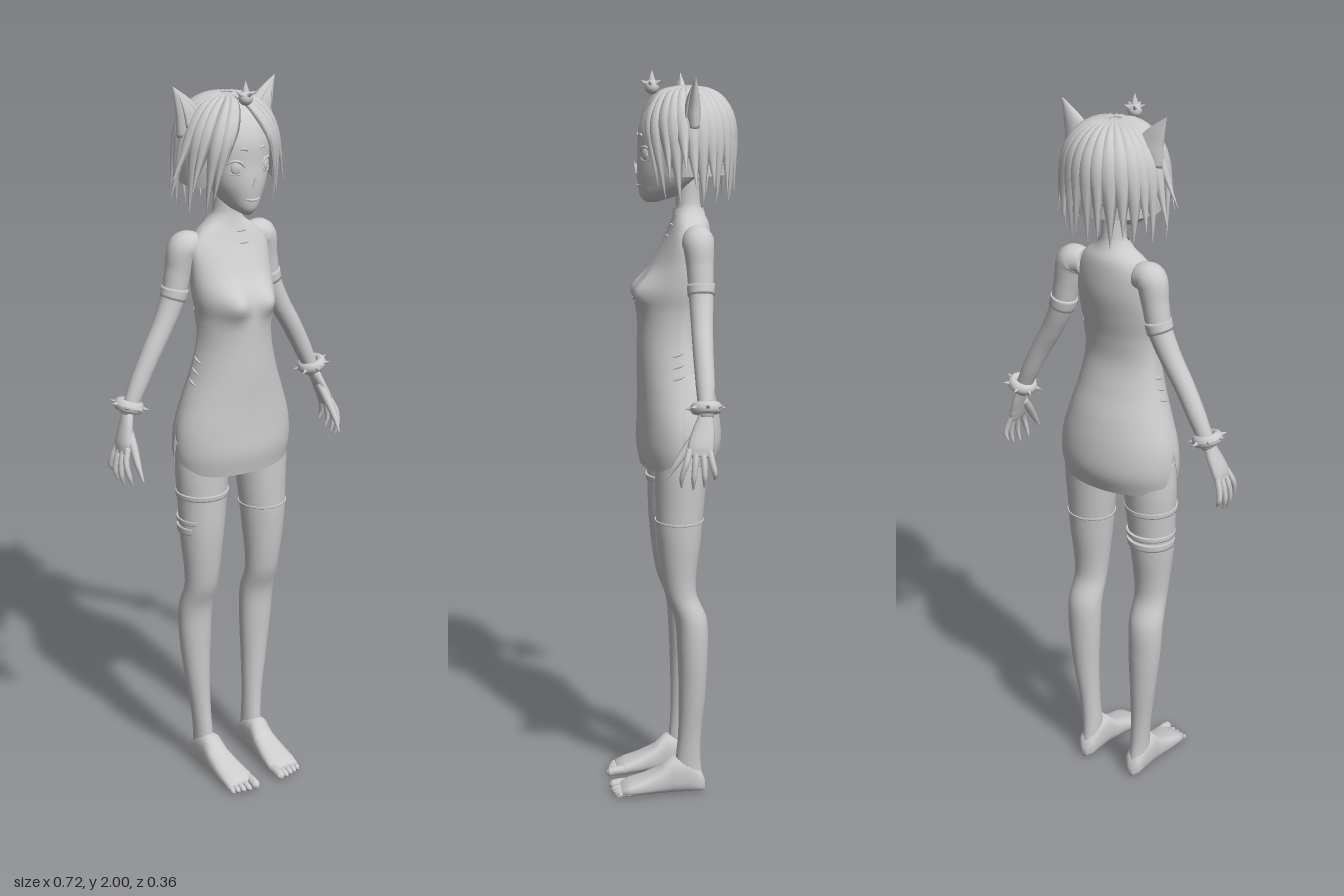
import * as THREE from 'three';

const V = (x, y, z) => new THREE.Vector3(x, y, z);
const mat = new THREE.MeshStandardMaterial({ color: 0xcccccc, side: THREE.DoubleSide });

// Skins closed rings of points; optional fans close both ends.
function loft(rings, cap = true) {
  const n = rings[0].length, pos = [], idx = [];
  rings.forEach(r => r.forEach(p => pos.push(p.x, p.y, p.z)));
  for (let i = 0; i < rings.length - 1; i++) for (let j = 0; j < n; j++) {
    const a = i * n + j, b = i * n + (j + 1) % n;
    idx.push(a, b, b + n, a, b + n, a + n);
  }
  if (cap) [0, rings.length - 1].forEach((k, end) => {
    const c = rings[k].reduce((s, p) => s.add(p), V(0, 0, 0)).divideScalar(n);
    const m = pos.length / 3;
    pos.push(c.x, c.y, c.z);
    for (let j = 0; j < n; j++) {
      const a = k * n + j, b = k * n + (j + 1) % n;
      end ? idx.push(a, b, m) : idx.push(b, a, m);
    }
  });
  const g = new THREE.BufferGeometry();
  g.setAttribute('position', new THREE.Float32BufferAttribute(pos, 3));
  g.setIndex(idx);
  g.computeVertexNormals();
  return g;
}

// Smooth interpolation of a key table [y, cx, cz, rx, rFront, rBack].
function section(keys, y) {
  const last = keys.length - 1;
  y = Math.min(Math.max(y, keys[0][0]), keys[last][0]);
  let i = 0;
  while (i < last - 1 && keys[i + 1][0] < y) i++;
  const A = keys[i], B = keys[i + 1], h = B[0] - A[0], t = (y - A[0]) / h;
  const slope = (k, c) => {
    const p = keys[Math.max(k - 1, 0)], q = keys[Math.min(k + 1, last)];
    return (q[c] - p[c]) / (q[0] - p[0]);
  };
  return A.map((v, c) => c === 0 ? y :
    v * (2 * t ** 3 - 3 * t * t + 1) + B[c] * (3 * t * t - 2 * t ** 3) +
    h * (slope(i, c) * (t ** 3 - 2 * t * t + t) + slope(i + 1, c) * (t ** 3 - t * t)));
}
function onBody(keys, y, a, off = 0) {
  const [, cx, cz, rx, rf, rb] = section(keys, y), c = Math.cos(a);
  return V(cx + Math.max(rx + off, 0.001) * Math.sin(a), y, cz + c * Math.max((c > 0 ? rf : rb) + off, 0.001));
}
// Upright body surface between two heights; the lower one may depend on the angle.
function body(keys, { lo = () => keys[0][0], hi = keys.at(-1)[0], off = 0, rows = 40, n = 40, tweak = p => p, cap = true } = {}) {
  const rings = [];
  for (let i = 0; i <= rows; i++) rings.push(Array.from({ length: n }, (_, j) => {
    const a = j / n * Math.PI * 2, y0 = lo(a > Math.PI ? a - 2 * Math.PI : a);
    return tweak(onBody(keys, y0 + (hi - y0) * i / rows, a, off));
  }));
  return loft(rings, cap);
}

// Tapered sweep; sizes are [width along side, thickness] at each point.
function sweep(pts, sizes, side = V(0, 0, 1), { n = 12, rows = 16, from = 0, to = 1, grow = 0 } = {}) {
  const curve = new THREE.CatmullRomCurve3(pts.map(p => V(...p))), rings = [];
  for (let i = 0; i <= rows; i++) {
    const t = from + (to - from) * i / rows, c = curve.getPoint(t), T = curve.getTangent(t);
    const N = side.clone().cross(T).normalize(), S = T.clone().cross(N).normalize();
    const f = t * (sizes.length - 1), k = Math.min(Math.floor(f), sizes.length - 2);
    const [w, d] = [0, 1].map(q => THREE.MathUtils.lerp(sizes[k][q], sizes[k + 1][q], f - k) + grow);
    rings.push(Array.from({ length: n }, (_, j) => {
      const a = j / n * Math.PI * 2;
      return c.clone().addScaledVector(S, w * Math.sin(a)).addScaledVector(N, d * Math.cos(a));
    }));
  }
  return loft(rings);
}
const round = rs => rs.map(r => [r, r]);

export function createModel() {
  const model = new THREE.Group();
  const add = (name, g) => { const m = new THREE.Mesh(g, mat); m.name = name; model.add(m); };
  const pair = (name, g) => {
    add(name + 'Left', g);
    const r = g.clone().scale(-1, 1, 1), ix = r.index.array;
    for (let i = 0; i < ix.length; i += 3) [ix[i], ix[i + 1]] = [ix[i + 1], ix[i]];
    r.computeVertexNormals();
    add(name + 'Right', r);
    return r;
  };

  // Dress and torso, hem raised at the side slits
  const torso = [
    [0.94, 0, -0.02, 0.168, 0.1, 0.1], [1.0, 0, -0.02, 0.178, 0.11, 0.12], [1.07, 0, -0.02, 0.174, 0.108, 0.117],
    [1.15, 0, -0.02, 0.15, 0.107, 0.1], [1.22, 0, -0.02, 0.127, 0.108, 0.076], [1.3, 0, -0.02, 0.109, 0.107, 0.056],
    [1.37, 0, -0.02, 0.107, 0.106, 0.06], [1.43, 0, -0.02, 0.117, 0.098, 0.073], [1.5, 0, -0.025, 0.12, 0.066, 0.083],
    [1.56, 0, -0.03, 0.115, 0.04, 0.08], [1.6, 0, -0.04, 0.085, 0.034, 0.066], [1.625, 0, -0.048, 0.05, 0.035, 0.045],
    [1.65, 0, -0.05, 0.036, 0.034, 0.036], [1.72, 0, -0.045, 0.035, 0.034, 0.036]];
  const bust = p => {
    if (p.z > 0) p.z += 0.028 * Math.exp(-((Math.abs(p.x) - 0.052) ** 2) / 0.0014 - (p.y - 1.42) ** 2 / 0.0016);
    return p;
  };
  const hem = a => {
    const d = (Math.abs(a) - 1.62) / 0.1, e = (Math.abs(a) - 1.55) / 0.45;
    return 0.942 + 0.1 * Math.exp(-d * d) + 0.035 * Math.exp(-e * e);
  };
  add('dress', body(torso, { lo: hem, hi: 1.635, rows: 64, n: 96, tweak: bust, cap: false }));
  add('neck', body(torso, { lo: () => 1.6, off: -0.002 }));
  add('underBustBand', body(torso, { lo: () => 1.358, hi: 1.395, off: 0.0025, rows: 5, n: 64, tweak: bust, cap: false }));
  add('collar', body(torso, { lo: () => 1.622, hi: 1.64, off: 0.003, rows: 4, cap: false }));
  add('pelvis', body([[0.915, 0, -0.02, 0.02, 0.03, 0.04], [0.95, 0, -0.02, 0.1, 0.06, 0.085],
    [1.02, 0, -0.02, 0.165, 0.09, 0.11], [1.12, 0, -0.02, 0.15, 0.095, 0.1]]));
  for (const y of [1.565, 1.595]) {
    const z = onBody(torso, y, 0.2).z + 0.002;
    add('chestClasp', sweep([[0.005, y, z], [0.022, y + 0.002, z], [0.038, y, z - 0.003]], round([0.001, 0.004, 0.001]), V(0, 1, 0), { n: 6 }));
  }
  for (const y of [1.2, 1.23, 1.26]) {
    const p = [1.35, 1.5, 1.65].map(a => onBody(torso, y + (a - 1.5) * 0.04, a, 0.001).toArray());
    pair('sideLace', sweep(p, round([0.002, 0.004, 0.002]), V(0, 1, 0), { n: 6, rows: 6 }));
  }

  // Legs, stocking edge and garter bands
  const leg = [
    [0.03, 0.083, -0.045, 0.026, 0.04, 0.042], [0.1, 0.085, -0.045, 0.026, 0.036, 0.034], [0.18, 0.09, -0.047, 0.028, 0.032, 0.033],
    [0.3, 0.099, -0.052, 0.037, 0.037, 0.038], [0.42, 0.104, -0.052, 0.047, 0.041, 0.043], [0.52, 0.105, -0.045, 0.05, 0.042, 0.047],
    [0.6, 0.103, -0.02, 0.048, 0.045, 0.042], [0.75, 0.103, -0.015, 0.062, 0.06, 0.06], [0.85, 0.1, -0.018, 0.069, 0.067, 0.066],
    [0.94, 0.097, -0.02, 0.075, 0.07, 0.074], [1.03, 0.085, -0.02, 0.08, 0.07, 0.085]];
  pair('leg', body(leg, { rows: 56, n: 32 }));
  const legBand = (y0, y1) => body(leg, { lo: () => y0, hi: y1, off: 0.003, rows: 4, n: 32 });
  add('stockingEdgeLeft', legBand(0.8, 0.806));
  for (const [y0, y1] of [[0.765, 0.785], [0.795, 0.808], [0.87, 0.885]])
    add('thighBandRight', legBand(y0, y1).rotateY(Math.PI).translate(0, 0, -0.036));

  // Feet and toes
  const foot = [[-0.092, 0.083, 0.01, 0.03], [-0.08, 0.083, 0.026, 0.062], [-0.045, 0.083, 0.031, 0.1], [0, 0.083, 0.033, 0.105],
    [0.03, 0.081, 0.036, 0.075], [0.08, 0.079, 0.043, 0.05], [0.12, 0.077, 0.046, 0.036], [0.145, 0.077, 0.043, 0.024]];
  const sq = v => Math.sign(v) * Math.abs(v) ** 0.75;
  pair('foot', loft(foot.map(([z, cx, rx, h]) => Array.from({ length: 24 }, (_, j) => {
    const a = j / 24 * Math.PI * 2;
    return V(cx + rx * sq(Math.sin(a)), 0.003 + h / 2 * (1 - sq(Math.cos(a))), z);
  }))));
  [0.044, 0.065, 0.082, 0.098, 0.113].forEach((x, i) => {
    const r = i ? 0.0088 - i * 0.0004 : 0.013, z = 0.176 - i * 0.004;
    pair('toe', sweep([[x, r + 0.006, 0.12], [x, r + 0.004, 0.15], [x, r, z - 0.008], [x, r, z]],
      [[r, r], [r, r], [r, r], [r * 0.4, r * 0.4]], V(1, 0, 0), { n: 10 }));
  });

  // Arms and sleeve bands
  const armPath = [[0.085, 1.562, -0.06], [0.122, 1.56, -0.062], [0.139, 1.5, -0.065], [0.155, 1.43, -0.066], [0.19, 1.355, -0.064],
    [0.228, 1.29, -0.062], [0.27, 1.21, -0.062], [0.308, 1.13, -0.06]];
  const armSize = round([0.034, 0.043, 0.036, 0.033, 0.029, 0.027, 0.025, 0.019]);
  pair('arm', sweep(armPath, armSize, V(0, 0, 1), { n: 24, rows: 48 }));
  pair('sleeveBand', sweep(armPath, armSize, V(0, 0, 1), { n: 24, rows: 4, from: 0.38, to: 0.44, grow: 0.003 }));

  // Spiked bracelets
  const wrist = V(0.302, 1.155, -0.06), tilt = new THREE.Quaternion().setFromUnitVectors(V(0, 1, 0), V(-0.3, 0.95, 0).normalize());
  const place = g => g.applyQuaternion(tilt).translate(wrist.x, wrist.y, wrist.z);
  pair('bracelet', place(new THREE.TorusGeometry(0.028, 0.013, 12, 32).rotateX(Math.PI / 2).scale(1, 1.25, 1)));
  for (let i = 0; i < 7; i++)
    pair('braceletSpike', place(new THREE.ConeGeometry(0.007, 0.02, 8).rotateZ(-Math.PI / 2).translate(0.046, 0, 0).rotateY(i * Math.PI * 2 / 7)));

  // Hands
  pair('palm', sweep([[0.305, 1.14, -0.06], [0.32, 1.1, -0.052], [0.334, 1.06, -0.043], [0.34, 1.035, -0.04]],
    [[0.018, 0.015], [0.029, 0.014], [0.035, 0.013], [0.03, 0.009]]));
  for (const [z0, x, y, z] of [[-0.014, 0.338, 0.955, 0.008], [-0.031, 0.345, 0.95, -0.022], [-0.048, 0.347, 0.957, -0.05], [-0.064, 0.345, 0.975, -0.077]])
    pair('finger', sweep([[0.335, 1.055, z0], [0.349, 1.02, (z0 + z) / 2], [x + 0.008, (y + 1.02) / 2 - 0.005, z], [x, y, z]], round([0.0085, 0.0085, 0.007, 0.002]), V(0, 0, 1), { n: 8 }));
  pair('thumb', sweep([[0.318, 1.095, -0.04], [0.322, 1.055, -0.008], [0.326, 1.015, 0.02], [0.325, 0.975, 0.045]], round([0.013, 0.012, 0.009, 0.002]), V(0, 0, 1), { n: 8 }));

  // Head and face
  const head = [
    [1.655, 0, 0.05, 0.008, 0.012, 0.02], [1.67, 0, 0.035, 0.031, 0.042, 0.055], [1.7, 0, 0.01, 0.056, 0.073, 0.065],
    [1.74, 0, 0, 0.077, 0.086, 0.09], [1.79, 0, -0.005, 0.09, 0.088, 0.115], [1.85, 0, -0.015, 0.094, 0.095, 0.115],
    [1.9, 0, -0.03, 0.082, 0.088, 0.09], [1.93, 0, -0.035, 0.055, 0.06, 0.06], [1.945, 0, -0.035, 0.006, 0.006, 0.006]];
  add('head', body(head, { rows: 44 }));
  const face = (x, y, out = 0.001) => {
    const [, , cz, rx, rf] = section(head, y);
    return [x, y, cz + rf * Math.sqrt(1 - (x / rx) ** 2) + out];
  };
  const stroke = (pts, r) => sweep(pts.map(p => face(...p)), round([r * 0.3, r, r, r * 0.3]), V(0, 0, 1), { n: 8, rows: 10 });
  add('nose', new THREE.ConeGeometry(0.008, 0.03, 8).scale(1, 1, 1.3).rotateX(0.3).translate(0, 1.748, 0.088));
  add('mouth', stroke([[-0.022, 1.702], [-0.008, 1.699], [0.008, 1.699], [0.022, 1.702]], 0.0035));
  pair('upperLash', stroke([[0.025, 1.785], [0.037, 1.8], [0.056, 1.802], [0.074, 1.787]], 0.004));
  pair('lowerLash', stroke([[0.03, 1.775], [0.042, 1.768], [0.056, 1.768], [0.068, 1.777]], 0.002));
  pair('iris', new THREE.SphereGeometry(0.014, 16, 12).scale(0.9, 1.1, 0.3).rotateY(0.55).translate(...face(0.047, 1.784, -0.001)));
  pair('brow', stroke([[0.018, 1.828], [0.024, 1.833], [0.031, 1.834], [0.038, 1.83]], 0.004));

  // Hair: cap with a face opening, covered by overlapping pointed locks
  const hair = [
    [1.64, 0, -0.045, 0.12, 0.105, 0.115], [1.7, 0, -0.045, 0.13, 0.115, 0.12], [1.79, 0, -0.045, 0.135, 0.124, 0.124],
    [1.86, 0, -0.045, 0.128, 0.12, 0.122], [1.91, 0, -0.045, 0.103, 0.096, 0.102], [1.945, 0, -0.045, 0.058, 0.058, 0.06],
    [1.957, 0, -0.045, 0.006, 0.006, 0.006]];
  add('hairCap', body(hair, {
    lo: a => 1.885 - 0.155 * THREE.MathUtils.smoothstep(Math.abs(a), 0.35, 1.0), hi: 1.957, off: -0.006, rows: 30, n: 64, cap: false }));
  function lock(a0, a1, tip, width, flick = 0) {
    const rings = [], rows = 22;
    const at = s => onBody(hair, 1.955 - (1.955 - tip) * s ** 1.8, a0 + (a1 - a0) * s, 0.002 + flick * Math.max(0, s - 0.6) ** 2);
    for (let i = 0; i <= rows; i++) {
      const s = i / rows, c = at(s), T = at(Math.min(s + 0.02, 1)).sub(at(Math.max(s - 0.02, 0))).normalize();
      const out = V(c.x, (c.y - 1.8) * 0.8, c.z + 0.045).normalize();
      const S = T.clone().cross(out).normalize(), N = S.clone().cross(T);
      const w = width * Math.min(1, 0.25 + 1.6 * s) * Math.min(1, (1 - s) * 2.6) + 0.0005;
      rings.push([[-1, -0.2], [-0.5, 0.28], [0, 0.5], [0.5, 0.28], [1, -0.2], [0, -0.3]].map(([u, v]) =>
        c.clone().addScaledVector(S, -u * w).addScaledVector(N, v * Math.min(w, 0.02))));
    }
    return loft(rings.map(r => r.reverse()));
  }
  const locks = [[0.08, 0.62, 1.77, 0.014], [0.2, 0.78, 1.7, 0.02], [0.45, 0.95, 1.67, 0.022], [0.75, 1.15, 1.72, 0.024, 0.15],
    [1.0, 1.32, 1.66, 0.026, 0.1], [1.25, 1.45, 1.75, 0.026, 0.28], [1.5, 1.62, 1.7, 0.027, 0.22], [1.75, 1.8, 1.665, 0.028, 0.08],
    [2.0, 2.0, 1.7, 0.028, 0.12], [2.2, 2.18, 1.66, 0.028], [2.45, 2.42, 1.685, 0.028, 0.06], [2.68, 2.66, 1.655, 0.028], [2.92, 2.9, 1.68, 0.027, 0.05]];
  locks.forEach(l => pair('hairLock', lock(...l)));
  add('hairLockBack', lock(Math.PI, Math.PI, 1.66, 0.028));

  // Animal ears
  pair('ear', sweep([[0.1, 1.87, -0.05], [0.112, 1.905, -0.05], [0.133, 1.945, -0.05], [0.158, 1.985, -0.05]],
    [[0.05, 0.022], [0.04, 0.02], [0.022, 0.012], [0.001, 0.001]], V(1, 0, 0)));
  pair('innerEar', sweep([[0.108, 1.89, -0.03], [0.122, 1.925, -0.034], [0.145, 1.965, -0.043]],
    [[0.026, 0.004], [0.017, 0.004], [0.001, 0.001]], V(1, 0, 0), { n: 8 }));

  // Hair ornament
  add('ornament', new THREE.SphereGeometry(0.019, 16, 12).translate(0, 1.955, 0.045));
  add('ornamentTip', new THREE.ConeGeometry(0.012, 0.035, 8).translate(0, 1.9825, 0.045));
  for (let i = 0; i < 5; i++)
    add('ornamentPetal', new THREE.ConeGeometry(0.009, 0.022, 6).translate(0, 0.022, 0).rotateX(1.1).rotateY(i * Math.PI * 0.4).translate(0, 1.957, 0.045));
  return model;
}
